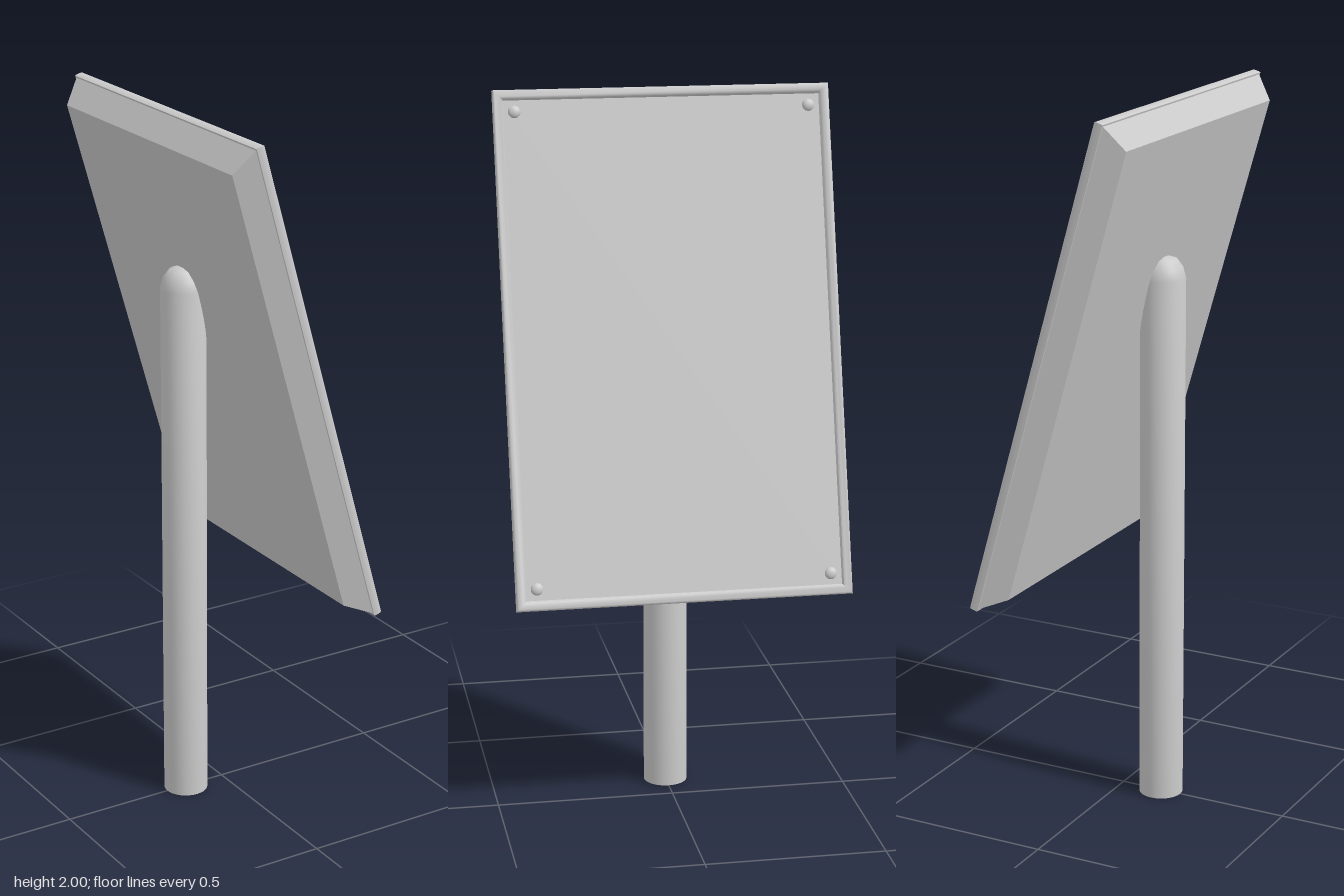
import * as THREE from 'three';
import { toCreasedNormals } from 'three/addons/utils/BufferGeometryUtils.js';

const HALF_H = 0.703, HALF_W = 0.464, TILT = 0.278;
const material = new THREE.MeshStandardMaterial({ color: 0xcccccc });

function part(name, geometry, parent) {
  const mesh = new THREE.Mesh(geometry, material);
  mesh.name = name;
  parent.add(mesh);
  return mesh;
}

// Skin of rectangular rings, each [depth, inset in height, inset in width],
// running from back to front along x; either end can be capped.
function rectLoft(rings, capBack, capFront) {
  const corners = [[1, 1], [-1, 1], [-1, -1], [1, -1]];
  const positions = rings.flatMap(([x, iy, iz]) =>
    corners.flatMap(([y, z]) => [x, y * (HALF_H - iy), z * (HALF_W - iz)]));
  const index = [];
  const quad = (a, b, c, d) => index.push(a, b, c, a, c, d);
  for (let r = 0; r < rings.length - 1; r++) {
    for (let i = 0; i < 4; i++) {
      const j = (i + 1) % 4, a = r * 4, b = a + 4;
      quad(a + i, a + j, b + j, b + i);
    }
  }
  const last = (rings.length - 1) * 4;
  if (capBack) quad(3, 2, 1, 0);
  if (capFront) quad(last, last + 1, last + 2, last + 3);
  const geometry = new THREE.BufferGeometry();
  geometry.setAttribute('position', new THREE.Float32BufferAttribute(positions, 3));
  geometry.setIndex(index);
  return toCreasedNormals(geometry, 0.7);
}

export function createModel() {
  const model = new THREE.Group();
  model.name = 'tiltedPanelOnPost';

  // Round post with a domed top
  const profile = [[0, 0], [0.062, 0], [0.062, 1.5], [0.054, 1.53], [0.038, 1.552], [0.018, 1.559], [0, 1.56]]
    .map(([r, y]) => new THREE.Vector2(r, y));
  const post = part('post', toCreasedNormals(new THREE.LatheGeometry(profile, 32), 0.8), model);
  post.position.x = -0.12;

  // Tilted panel; local +x is its facing direction
  const panel = new THREE.Group();
  panel.name = 'panel';
  panel.position.set(0.0335, 1.324, 0);
  panel.rotation.z = TILT;
  model.add(panel);

  // Tapered back housing
  part('backHousing', rectLoft([[-0.09, 0.054, 0.038], [-0.026, 0.006, 0.006]], true, false), panel);

  // Raised rim with rounded outer and inner edges
  part('rim', rectLoft([
    [-0.026, 0.006, 0.006], [-0.026, 0.001, 0.001], [-0.022, 0, 0], [-0.006, 0, 0],
    [-0.002, 0.002, 0.002], [0, 0.006, 0.006], [0, 0.018, 0.018],
    [-0.003, 0.024, 0.024], [-0.01, 0.028, 0.028],
  ], false, false), panel);

  // Flat front sheet set inside the rim
  part('frontSheet', rectLoft([[-0.01, 0.028, 0.028]], false, true), panel);

  // Domed corner bolts
  const boltGeometry = new THREE.SphereGeometry(0.017, 20, 12);
  for (const y of [-1, 1]) {
    for (const z of [-1, 1]) {
      const bolt = part('cornerBolt', boltGeometry, panel);
      bolt.position.set(-0.01, y * 0.644, z * 0.406);
      bolt.scale.x = 0.6;
    }
  }
  return model;
}
